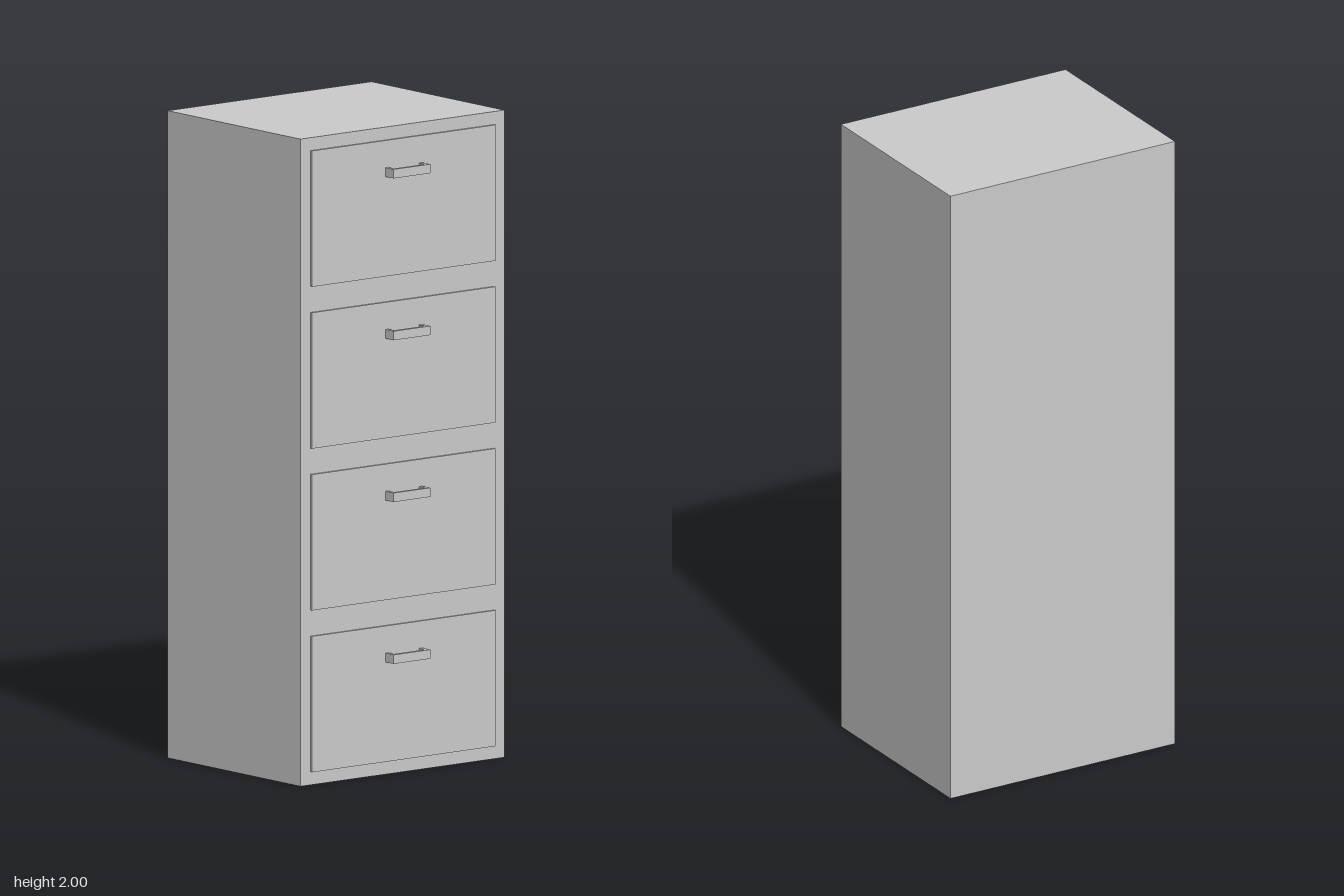
import * as THREE from 'three';

const BACK = -0.343, FRONT = 0.297, FACE = 0.304, GRIP = 0.343;

export function createModel() {
  const group = new THREE.Group();
  const material = new THREE.MeshStandardMaterial({ color: 0xcccccc });

  const add = (name, geometry, x, y, z, parent = group) => {
    const mesh = new THREE.Mesh(geometry, material);
    mesh.name = name;
    mesh.position.set(x, y, z);
    parent.add(mesh);
  };

  // Cabinet body
  add('cabinet', new THREE.BoxGeometry(0.8, 2, FRONT - BACK), 0, 1, (FRONT + BACK) / 2);

  // Drawer front: a thin raised panel, sunk slightly into the body
  const panelDepth = 0.02;
  const panel = new THREE.BoxGeometry(0.72, 0.42, panelDepth);

  // Square U-shaped handle, drawn in plan and extruded through its height
  const w = 0.072, t = 0.012, d = GRIP - FACE, height = 0.028;
  const outline = new THREE.Shape([
    [-w, 0], [-w + t, 0], [-w + t, d - t], [w - t, d - t],
    [w - t, 0], [w, 0], [w, d], [-w, d],
  ].map(([x, z]) => new THREE.Vector2(x, z)));
  const handle = new THREE.ExtrudeGeometry(outline, { depth: height, bevelEnabled: false });
  handle.rotateX(Math.PI / 2).translate(0, height / 2, 0);

  // Four equal drawers, from the bottom up
  for (let i = 0; i < 4; i++) {
    const drawer = new THREE.Group();
    drawer.name = `drawer${i + 1}`;
    drawer.position.y = 0.25 + i * 0.5;
    add('drawerFront', panel, 0, 0, FACE - panelDepth / 2, drawer);
    add('handle', handle, 0, 0.112, FACE, drawer);
    group.add(drawer);
  }
  return group;
}
